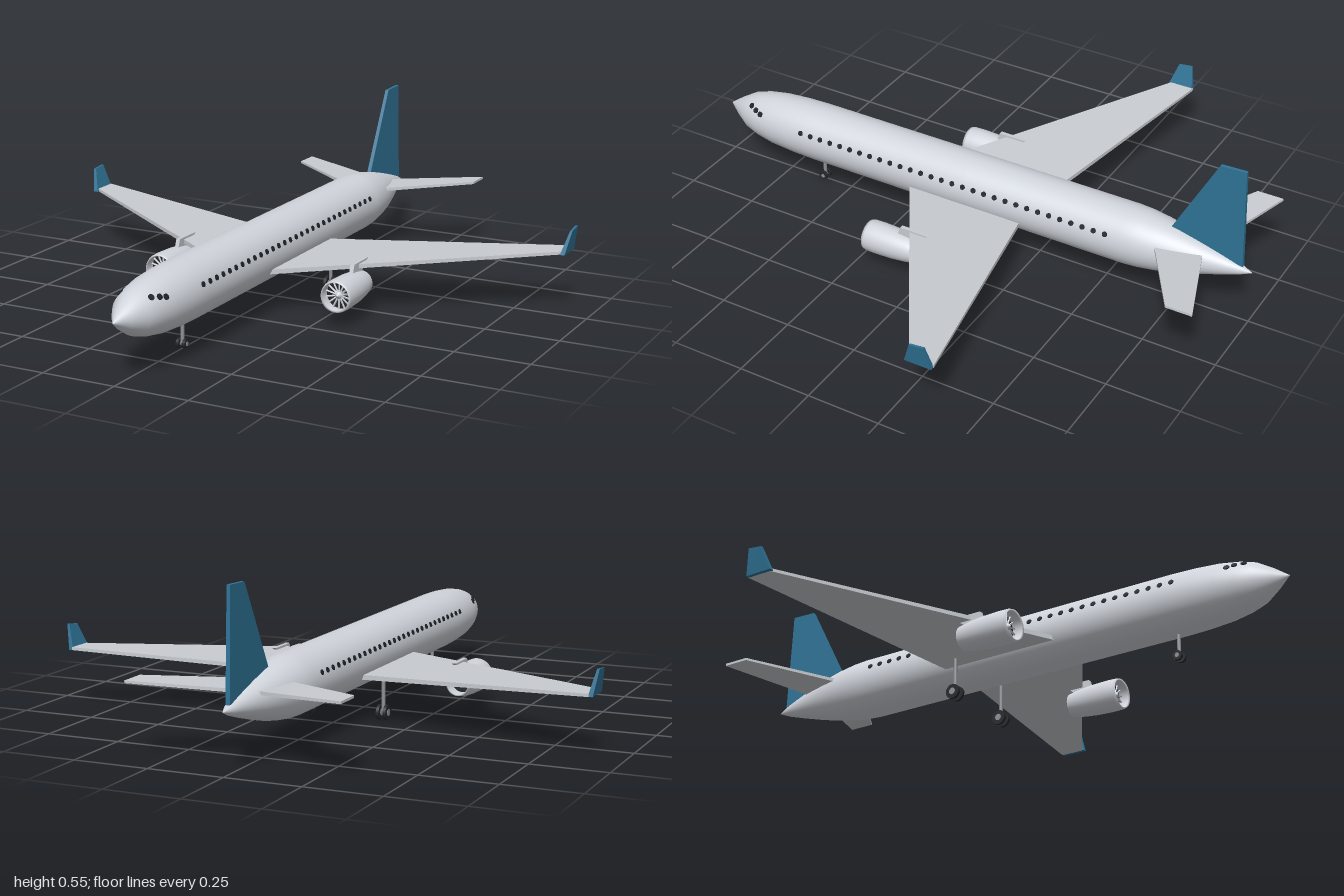
import * as THREE from 'three';
import { mergeGeometries } from 'three/addons/utils/BufferGeometryUtils.js';

const V = (x, y) => new THREE.Vector2(x, y);
const lerp = THREE.MathUtils.lerp;
const AXIS_Y = 0.19;

// fuselage outline: [z, radius], tail to nose
const HULL = [[-1, 0], [-0.96, 0.017], [-0.9, 0.036], [-0.82, 0.059], [-0.75, 0.077], [-0.69, 0.089],
  [-0.63, 0.097], [-0.58, 0.1], [0, 0.1], [0.62, 0.1], [0.7, 0.098], [0.785, 0.092], [0.85, 0.081],
  [0.9, 0.066], [0.95, 0.036], [1, 0]];

function hullAt(z) {
  const i = HULL.findIndex((p) => p[0] >= z);
  const [a, b] = [HULL[i - 1], HULL[i]];
  const slope = (b[1] - a[1]) / (b[0] - a[0]);
  return { r: a[1] + slope * (z - a[0]), slope };
}

// lathe around the z axis from [z, radius] pairs
function latheZ(points, segments) {
  return new THREE.LatheGeometry(points.map(([z, r]) => V(r, z)), segments).rotateX(Math.PI / 2);
}

// box whose vertices are moved by a rule
function shapedBox(rule) {
  const g = new THREE.BoxGeometry(1, 1, 1);
  const p = g.attributes.position;
  for (let i = 0; i < p.count; i++) p.setXYZ(i, ...rule(p.getX(i), p.getY(i), p.getZ(i)));
  g.computeVertexNormals();
  return g;
}

// flat panel reaching sideways; a section is { x, y, lead, trail, t }
function sidePanel(root, tip, s) {
  return shapedBox((x, y, z) => {
    const u = s * x + 0.5;
    const at = (k) => lerp(root[k], tip[k], u);
    return [s * at('x'), at('y') + y * at('t'), z > 0 ? at('lead') : at('trail')];
  });
}

// flat panel reaching upwards; a corner is [y, z]
function uprightPanel(root, tip, s = 1) {
  return shapedBox((x, y, z) => {
    const e = y > 0 ? tip : root;
    const [py, pz] = z > 0 ? e.lead : e.trail;
    return [s * e.x + x * e.t, py, pz];
  });
}

// thin round pane lying on the fuselage skin
function pane(s, y, z, radius) {
  const { r, slope } = hullAt(z);
  const dy = y - AXIS_Y;
  const x = s * Math.sqrt(r * r - dy * dy);
  const normal = new THREE.Vector3(x / r, dy / r, -slope).normalize();
  const q = new THREE.Quaternion().setFromUnitVectors(new THREE.Vector3(0, 1, 0), normal);
  return new THREE.CylinderGeometry(radius, radius, 0.005, 10).applyQuaternion(q).translate(x, y, z);
}

export function createModel() {
  const model = new THREE.Group();
  model.name = 'airliner';
  const mat = (name, color) => {
    const m = new THREE.MeshStandardMaterial({ color });
    m.name = name;
    return m;
  };
  const body = mat('pale grey paint', 0xd0d4db);
  const wingGrey = mat('wing grey', 0xc8ccd1);
  const blue = mat('blue paint', 0x2f7396);
  const glass = mat('dark glass', 0x1c2328);
  const rubber = mat('tyre rubber', 0x24282b);
  const metal = mat('strut metal', 0x8d9196);

  const add = (parent, name, geometry, material) => {
    const mesh = new THREE.Mesh(geometry, material);
    mesh.name = name;
    parent.add(mesh);
    return mesh;
  };
  const group = (name, x, y, z) => {
    const g = new THREE.Group();
    g.name = name;
    g.position.set(x, y, z);
    model.add(g);
    return g;
  };

  // fuselage
  add(model, 'fuselage', latheZ(HULL, 48).translate(0, AXIS_Y, 0), body);

  // tail fin
  add(model, 'tailFin', uprightPanel(
    { x: 0, t: 0.014, lead: [0.258, -0.712], trail: [0.205, -0.967] },
    { x: 0, t: 0.012, lead: [0.55, -0.865], trail: [0.553, -0.953] }), blue);

  // landing gear: one strut with a pair of wheels
  const gear = (name, x, z, radius, top, gap) => {
    const g = group(name, x, 0, z);
    const h = top - radius;
    add(g, 'strut', new THREE.CylinderGeometry(0.006, 0.006, h, 12).translate(0, radius + h / 2, 0), metal);
    const roll = (r, w) => new THREE.CylinderGeometry(r, r, w, 20).rotateZ(Math.PI / 2);
    add(g, 'axle', roll(0.004, gap * 2).translate(0, radius, 0), metal);
    for (const s of [1, -1]) {
      add(g, 'tyre', roll(radius, 0.01).translate(s * gap, radius, 0), rubber);
      add(g, 'hub', roll(radius * 0.45, 0.013).translate(s * gap, radius, 0), metal);
    }
  };
  gear('noseGear', 0, 0.61, 0.016, 0.1, 0.011);

  for (const s of [1, -1]) {
    const side = s > 0 ? 'left' : 'right';

    // cabin and cockpit windows
    const panes = [];
    for (let i = 0; i < 30; i++) panes.push(pane(s, 0.226, 0.64 - i * 0.0403, 0.009));
    add(model, side + 'CabinWindows', mergeGeometries(panes), glass);
    const cockpit = [[0.243, 0.872], [0.239, 0.846], [0.234, 0.823]].map(([y, z]) => pane(s, y, z, 0.01));
    add(model, side + 'CockpitWindows', mergeGeometries(cockpit), glass);

    // wing, winglet and tailplane
    add(model, side + 'Wing', sidePanel(
      { x: 0.04, y: 0.147, lead: 0.235, trail: -0.207, t: 0.016 },
      { x: 0.893, y: 0.195, lead: -0.295, trail: -0.38, t: 0.01 }, s), wingGrey);
    add(model, side + 'Winglet', uprightPanel(
      { x: 0.897, t: 0.016, lead: [0.19, -0.285], trail: [0.19, -0.378] },
      { x: 0.916, t: 0.008, lead: [0.268, -0.312], trail: [0.274, -0.362] }, s), blue);
    add(model, side + 'Tailplane', sidePanel(
      { x: 0.01, y: 0.217, lead: -0.655, trail: -0.833, t: 0.012 },
      { x: 0.35, y: 0.241, lead: -0.862, trail: -0.952, t: 0.008 }, s), wingGrey);

    // engine: hollow nacelle, fan, exhaust and pylon
    const engine = group(side + 'Engine', s * 0.325, 0.101, 0);
    add(engine, 'nacelle', latheZ([[0.06, 0.034], [0.02, 0.036], [0.02, 0.04], [0.06, 0.047], [0.11, 0.052],
      [0.17, 0.054], [0.205, 0.053], [0.215, 0.05], [0.21, 0.046], [0.17, 0.046]], 32), body);
    add(engine, 'fanBack', new THREE.CylinderGeometry(0.046, 0.034, 0.11, 32)
      .rotateX(Math.PI / 2).translate(0, 0, 0.122), rubber);
    const blades = [];
    for (let i = 0; i < 14; i++) {
      blades.push(new THREE.BoxGeometry(0.005, 0.038, 0.004).rotateY(0.4)
        .translate(0, 0.027, 0.184).rotateZ((i / 14) * Math.PI * 2));
    }
    add(engine, 'fanBlades', mergeGeometries(blades), body);
    add(engine, 'spinner', latheZ([[0.178, 0.013], [0.19, 0.011], [0.2, 0]], 16), body);
    add(engine, 'exhaustCone', new THREE.ConeGeometry(0.022, 0.06, 20).rotateX(-Math.PI / 2)
      .translate(0, 0, 0.045), metal);
    add(engine, 'pylon', shapedBox((x, y, z) => [x * 0.014, y > 0 ? 0.076 : 0.042,
      z > 0 ? (y > 0 ? 0.088 : 0.1) : (y > 0 ? -0.015 : 0.03)]), wingGrey);

    gear(side + 'MainGear', s * 0.133, -0.145, 0.025, 0.15, 0.012);
  }
  return model;
}
